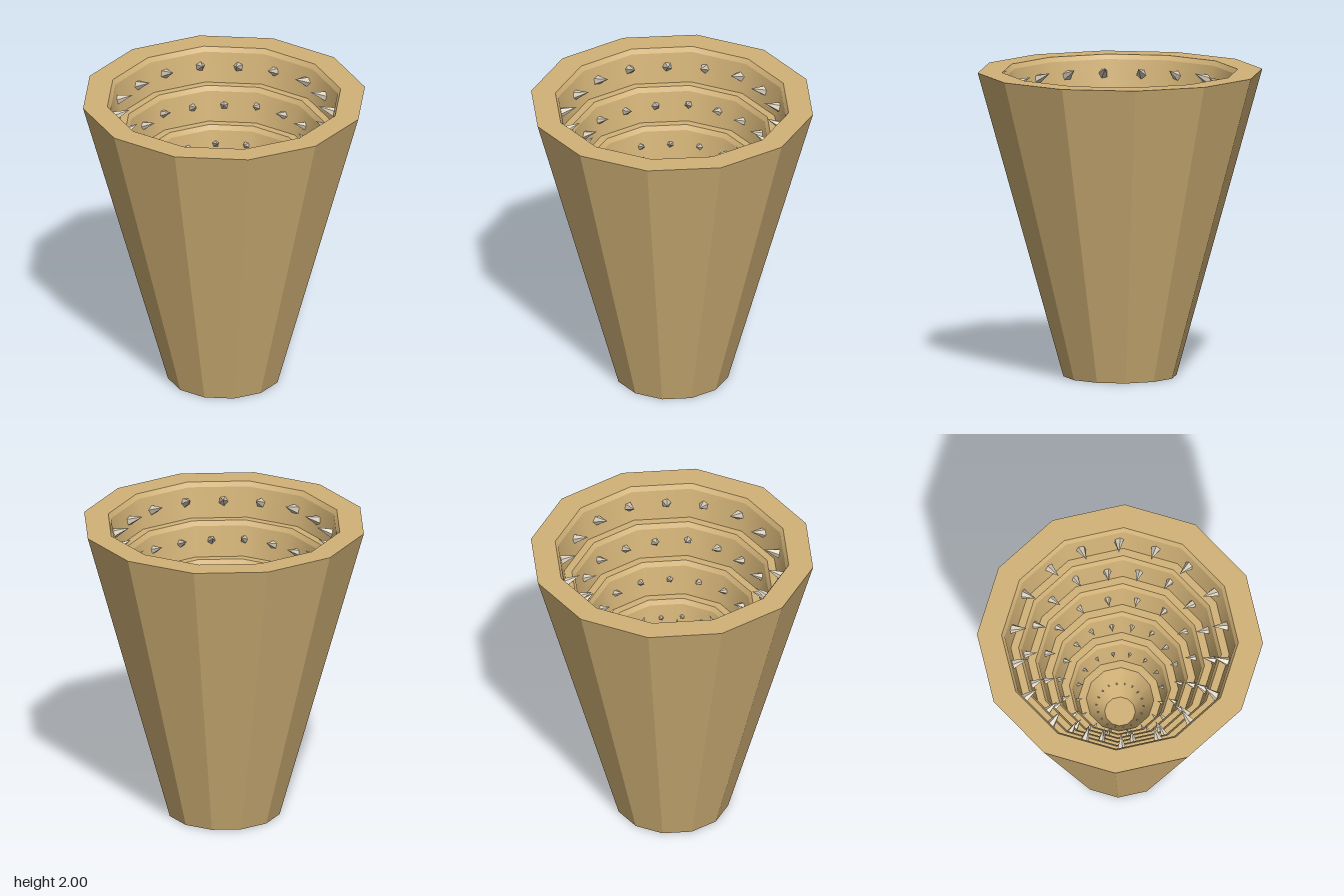
import * as THREE from 'three';
import { mergeGeometries } from 'three/addons/utils/BufferGeometryUtils.js';

const SIDES = 12, TOP = 2, ROWS = 6, PITCH = 0.23, STEP = 0.11;
const SECTOR = Math.PI * 2 / SIDES;

// One lathe per profile segment keeps the edges between bands sharp.
function bands(profile) {
  const parts = [];
  for (let i = 0; i + 1 < profile.length; i++) {
    const pair = [profile[i], profile[i + 1]].map(([r, y]) => new THREE.Vector2(r, y));
    parts.push(new THREE.LatheGeometry(pair, SIDES));
  }
  return mergeGeometries(parts);
}

// Distance from the axis to the side of a twelve-sided ring at a given angle.
function ringRadius(r, angle) {
  const a = ((angle % SECTOR) + SECTOR) % SECTOR;
  return r * Math.cos(SECTOR / 2) / Math.cos(a - SECTOR / 2);
}

export function createModel() {
  const group = new THREE.Group();
  const sand = 0xd2b277;
  const flatSand = new THREE.MeshStandardMaterial({ color: sand, flatShading: true });
  const smoothSand = new THREE.MeshStandardMaterial({ color: sand });
  const bone = new THREE.MeshStandardMaterial({ color: 0xddd3c0, flatShading: true });

  function add(name, geometry, material) {
    const mesh = new THREE.Mesh(geometry, material);
    mesh.name = name;
    group.add(mesh);
  }

  // Faceted tapering outside, closed base and flat rim
  add('outerShell', bands([[0, 0], [0.37, 0], [0.93, TOP], [0.77, TOP]]), flatSand);

  // Stepped throat: bevelled lip, steep wall and ledge on every level
  const throat = [];
  for (let i = 0; i < ROWS; i++) {
    const r = 0.77 - STEP * i, y = TOP - PITCH * i;
    throat.push([r, y]);
    if (i < ROWS - 1) throat.push([r - 0.02, y - 0.03], [r - 0.06, y - PITCH]);
  }
  const floorY = TOP - PITCH * ROWS;
  throat.push([0.1, floorY], [0, floorY]);
  add('throat', bands(throat), smoothSand);

  // Rows of teeth, shrinking with depth, pointing inward and slightly up
  const toothShape = new THREE.ConeGeometry(0.035, 0.12, 5);
  toothShape.translate(0, 0.05, 0);
  const counts = [18, 18, 16, 18, 16, 18];
  const up = new THREE.Vector3(0, 1, 0);
  for (let i = 0; i < ROWS; i++) {
    const row = new THREE.Group();
    row.name = 'toothRow' + (i + 1);
    const wall = 0.77 - STEP * i - (i === ROWS - 1 ? 0.055 : 0.037);
    for (let k = 0; k < counts[i]; k++) {
      const angle = (k + (i === 0 ? -0.13 : 0.5)) / counts[i] * Math.PI * 2;
      const r = ringRadius(wall, angle);
      const c = Math.cos(angle), s = Math.sin(angle);
      const tooth = new THREE.Mesh(toothShape, bone);
      tooth.name = 'tooth';
      tooth.position.set(r * c, TOP - PITCH * i - 0.12, r * s);
      tooth.quaternion.setFromUnitVectors(up, new THREE.Vector3(-c, 0.45, -s).normalize());
      tooth.scale.setScalar(1 - 0.155 * i);
      row.add(tooth);
    }
    group.add(row);
  }
  return group;
}
